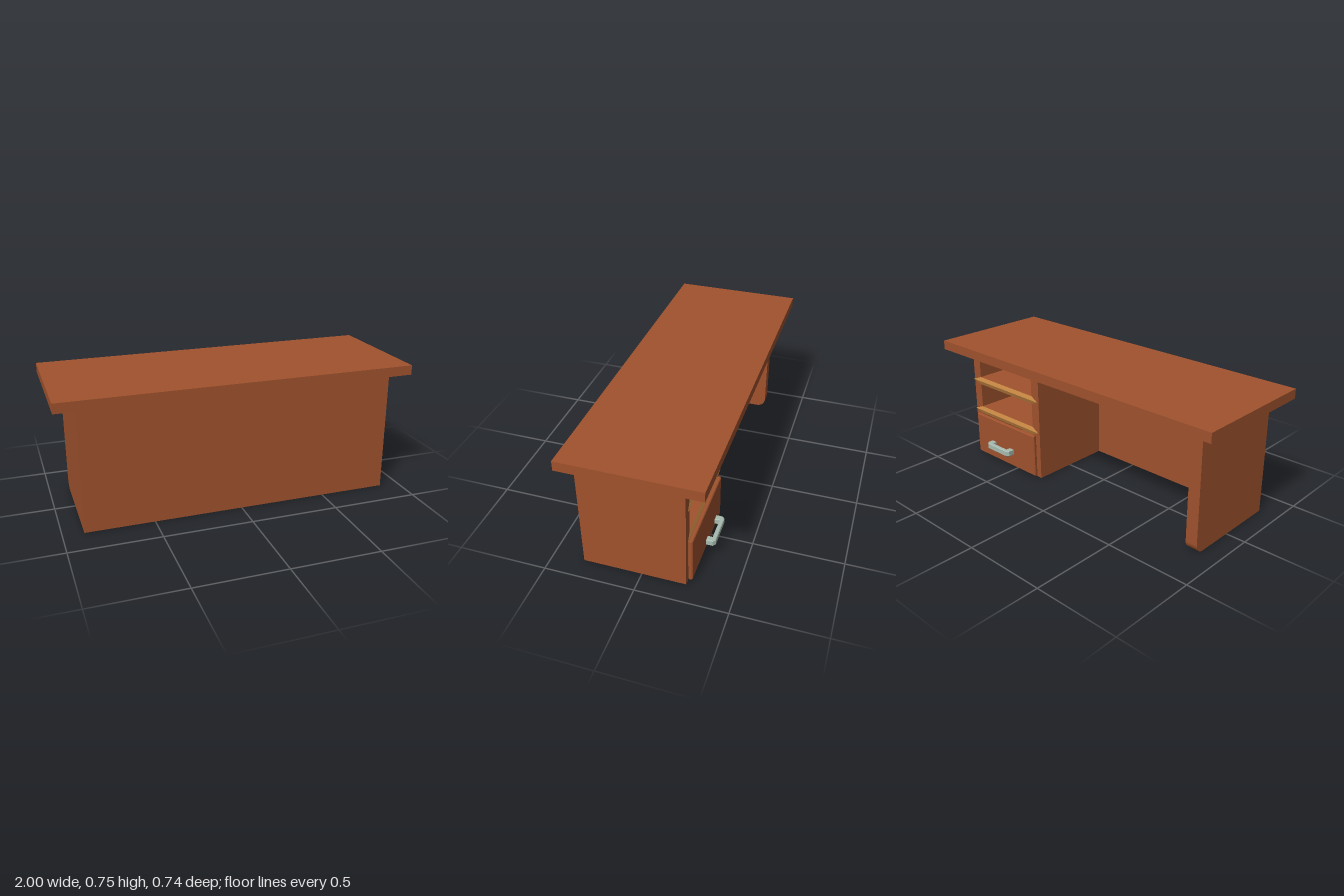
import * as THREE from 'three';
import { ConvexGeometry } from 'three/addons/geometries/ConvexGeometry.js';

export function createModel() {
  const desk = new THREE.Group();
  desk.name = 'desk';

  const material = (name, color) => {
    const m = new THREE.MeshStandardMaterial({ color });
    m.name = name;
    return m;
  };
  const redWood = material('redWood', 0xa0522d);
  const paleWood = material('paleWood', 0xc68642);
  const metal = material('paleMetal', 0xa8bcb0);

  const add = (name, geometry, mat) => {
    const mesh = new THREE.Mesh(geometry, mat);
    mesh.name = name;
    desk.add(mesh);
    return mesh;
  };
  // Box given by its limits on each axis
  const box = (name, [x0, x1], [y0, y1], [z0, z1]) => {
    const mesh = add(name, new THREE.BoxGeometry(x1 - x0, y1 - y0, z1 - z0), redWood);
    mesh.position.set((x0 + x1) / 2, (y0 + y1) / 2, (z0 + z1) / 2);
    return mesh;
  };
  // Extrusion with a small chamfer kept inside the outline and depth
  const chamfered = (shape, depth, c) => new THREE.ExtrudeGeometry(shape, {
    depth: depth - 2 * c, bevelEnabled: true, bevelThickness: c, bevelSize: c,
    bevelOffset: -c, bevelSegments: 1, curveSegments: 8,
  }).translate(0, 0, c);

  const under = 0.695, inner = 0.268, open = -0.243;

  // Top and front panel
  box('top', [-1, 1], [under, 0.75], [-0.371, 0.371]);
  box('frontPanel', [-0.885, 0.885], [0, under], [inner, 0.326]);

  // Leg panel with a rounded lower back corner
  const r = 0.055, reach = 0.267;
  const legShape = new THREE.Shape();
  legShape.moveTo(-inner, 0);
  legShape.lineTo(reach - r, 0);
  legShape.absarc(reach - r, r, r, -Math.PI / 2, 0, false);
  legShape.lineTo(reach, under);
  legShape.lineTo(-inner, under);
  const legGeometry = new THREE.ExtrudeGeometry(legShape, { depth: 0.07, bevelEnabled: false, curveSegments: 8 });
  add('legPanel', legGeometry.rotateY(Math.PI / 2), redWood).position.x = -0.885;

  // Pedestal carcass
  box('pedestalOuterSide', [0.825, 0.885], [0, under], [open, inner]);
  box('pedestalInnerSide', [0.294, 0.354], [0, under], [open, inner]);
  box('pedestalBase', [0.354, 0.825], [0, 0.05], [open, inner]);

  // Shelves, each with a pointed moulding wider at its tip than at its root
  for (const y of [0.497, 0.3]) {
    box('shelf', [0.354, 0.825], [y - 0.025, y + 0.023], [open, inner]);
    const points = [];
    for (const x of [0.354, 0.825]) {
      points.push(new THREE.Vector3(x, y + 0.023, open), new THREE.Vector3(x, y - 0.025, open));
    }
    for (const x of [0.294, 0.885]) points.push(new THREE.Vector3(x, y, -0.253));
    add('shelfMoulding', new ConvexGeometry(points), paleWood);
  }

  // Drawer front with chamfered edges
  const drawerShape = new THREE.Shape([[0.324, 0.01], [0.855, 0.01], [0.855, 0.275], [0.324, 0.275]]
    .map(([x, y]) => new THREE.Vector2(x, y)));
  add('drawerFront', chamfered(drawerShape, 0.024, 0.005), redWood).position.z = -0.267;

  // U-shaped handle, its ends turned toward the drawer
  const handleShape = new THREE.Shape([
    [-0.1, -0.288], [-0.1, -0.325], [-0.085, -0.338], [0.085, -0.338], [0.1, -0.325], [0.1, -0.288],
    [0.065, -0.288], [0.065, -0.315], [-0.065, -0.315], [-0.065, -0.288],
  ].map(([x, z]) => new THREE.Vector2(x, z)));
  add('drawerHandle', chamfered(handleShape, 0.037, 0.004).rotateX(Math.PI / 2), metal).position.set(0.588, 0.145, 0);

  return desk;
}
